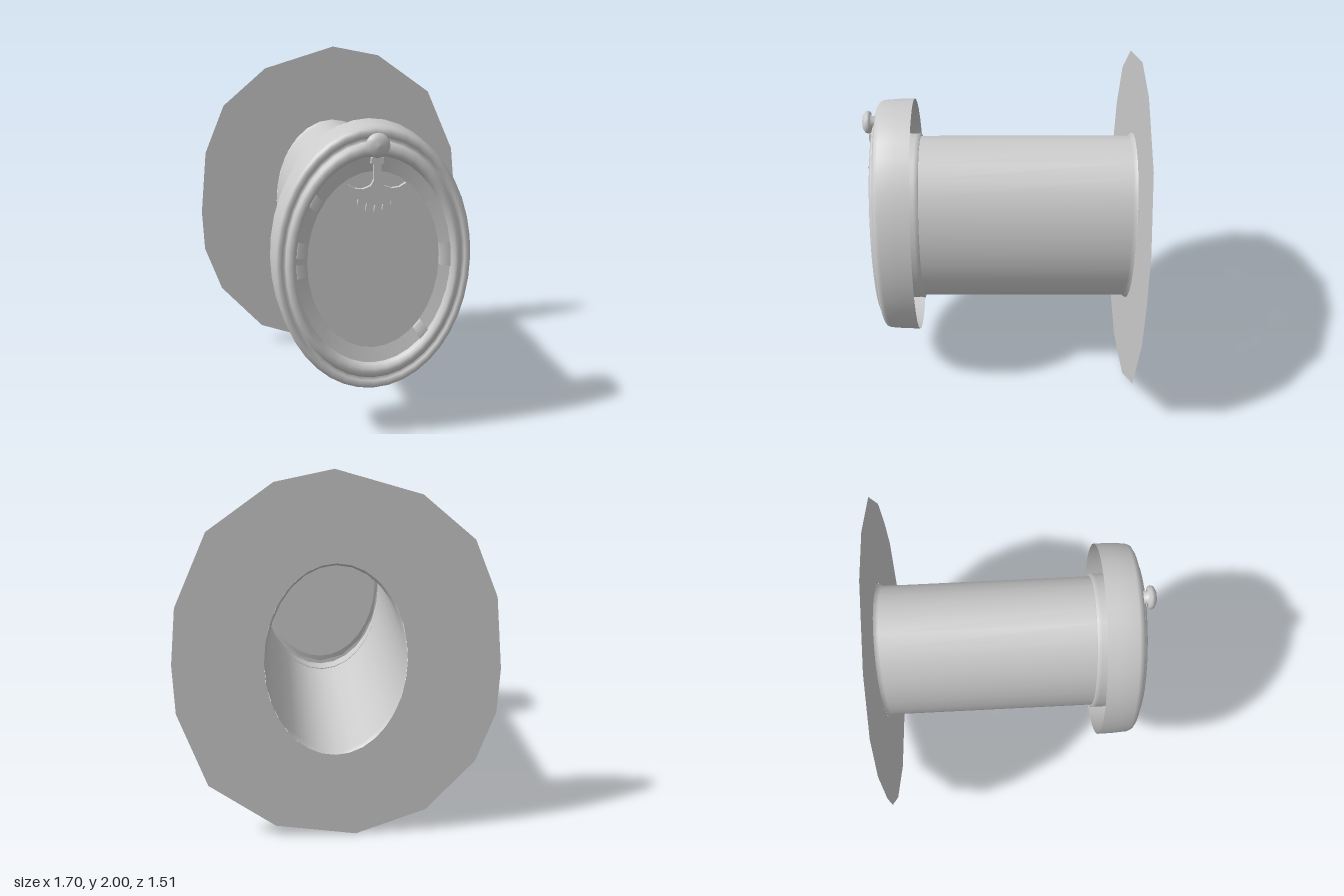
import * as THREE from 'three';

const CX = 0.01, CY = 1.005;

export function createModel() {
  const model = new THREE.Group();
  const material = new THREE.MeshStandardMaterial({ color: 0xcccccc, side: THREE.DoubleSide });

  const add = (name, geometry, x = 0, y = 0, z = 0) => {
    const mesh = new THREE.Mesh(geometry, material);
    mesh.name = name;
    mesh.position.set(x, y, z);
    model.add(mesh);
    return mesh;
  };

  // Oval band: profile of [scale, z] pairs swept round the z axis; start 0 is the bottom
  const oval = (name, profile, rx, ry, sides = 32, start = 0, sweep = Math.PI * 2) => {
    const points = profile.map(([s, z]) => new THREE.Vector2(s, z));
    const geometry = new THREE.LatheGeometry(points, sides, start, sweep);
    geometry.rotateX(Math.PI / 2).scale(rx, ry, 1);
    return add(name, geometry, CX, CY, 0);
  };

  // Irregular flat back plate with an oval opening
  const plate = new THREE.Shape([
    [0.02, 2], [-0.415, 1.87], [-0.685, 1.64], [-0.81, 1.34], [-0.85, 0.95], [-0.84, 0.7],
    [-0.74, 0.42], [-0.48, 0.135], [-0.1, 0], [0.335, 0.065], [0.69, 0.32], [0.84, 0.74],
    [0.85, 1.01], [0.82, 1.315], [0.65, 1.7], [0.315, 1.94],
  ].map(([x, y]) => new THREE.Vector2(x, y)));
  plate.holes.push(new THREE.Path().absellipse(CX, CY, 0.37, 0.525, 0, Math.PI * 2, true));
  add('backPlate', new THREE.ShapeGeometry(plate, 16), 0, 0, -0.755);

  // Tunnel with a flared rear end, and the collar at its front
  oval('tunnel', [[1.035, -0.755], [1, -0.73], [1, 0.45]], 0.357, 0.51, 28);
  oval('tunnelCollar', [[1, 0.445], [1.045, 0.445], [1.035, 0.47], [1.05, 0.6]], 0.357, 0.505, 28);

  // Hollow oval frame with two rounded ridges
  oval('frame', [
    [1, 0.475], [0.997, 0.56], [0.987, 0.645], [0.972, 0.667], [0.945, 0.677], [0.915, 0.67],
    [0.888, 0.65], [0.883, 0.675], [0.865, 0.692], [0.835, 0.7], [0.805, 0.697], [0.782, 0.68],
    [0.775, 0.65],
  ], 0.53, 0.73, 40);
  oval('frameBackRing', [[0.9, 0.6], [0.7, 0.6]], 0.53, 0.73, 16);

  // Sloping inner border and flat glass
  oval('innerBorder', [[0.785, 0.655], [0.665, 0.638]], 0.53, 0.73, 32);
  const glass = new THREE.CircleGeometry(1, 32);
  glass.scale(0.357, 0.49, 1);
  add('glass', glass, CX, CY, 0.638);

  // Raised clips on the inner border: angle in degrees from the bottom, and width
  for (const [angle, width] of [[42, 8], [93, 14], [130, 8], [232, 8], [273, 8], [261, 9], [318, 10]]) {
    oval('borderClip', [[0.775, 0.655], [0.77, 0.672], [0.675, 0.654], [0.665, 0.638]], 0.53, 0.73, 2,
      THREE.MathUtils.degToRad(angle - width / 2), THREE.MathUtils.degToRad(width));
  }

  // Knob: a rounded cap on a short stem
  const knob = new THREE.LatheGeometry([
    [0.035, 0.66], [0.035, 0.705], [0.058, 0.708], [0.064, 0.722], [0.057, 0.738], [0.035, 0.75], [0, 0.755],
  ].map(([r, z]) => new THREE.Vector2(r, z)), 16);
  knob.rotateX(Math.PI / 2);
  add('knob', knob, CX, 1.637, 0);

  // Hanging crescent: one half outline, mirrored
  const half = [
    [0.03, 1.575], [0.034, 1.545], [0.02, 1.54], [0.018, 1.46], [0.035, 1.43], [0.075, 1.415],
    [0.115, 1.42], [0.147, 1.44], [0.13, 1.4], [0.095, 1.36], [0.05, 1.338], [0, 1.33],
  ];
  const mirrored = half.slice(0, -1).reverse().map(([x, y]) => [-x, y]);
  const crescent = new THREE.Shape([...half, ...mirrored].map(([x, y]) => new THREE.Vector2(x, y)));
  add('crescent', new THREE.ExtrudeGeometry(crescent, { depth: 0.025, bevelEnabled: false }), CX, 0, 0.695);

  // Five drops below the crescent
  for (let i = -2; i <= 2; i++) {
    const drop = new THREE.Shape();
    drop.moveTo(0, 0.035);
    drop.quadraticCurveTo(0.014, 0, 0.011, -0.02);
    drop.quadraticCurveTo(0, -0.055, -0.011, -0.02);
    drop.quadraticCurveTo(-0.014, 0, 0, 0.035);
    const geometry = new THREE.ExtrudeGeometry(drop, { depth: 0.02, bevelEnabled: false, curveSegments: 4 });
    add('drop', geometry, CX + i * 0.043, 1.305 + i * i * 0.01, 0.675);
  }

  return model;
}
